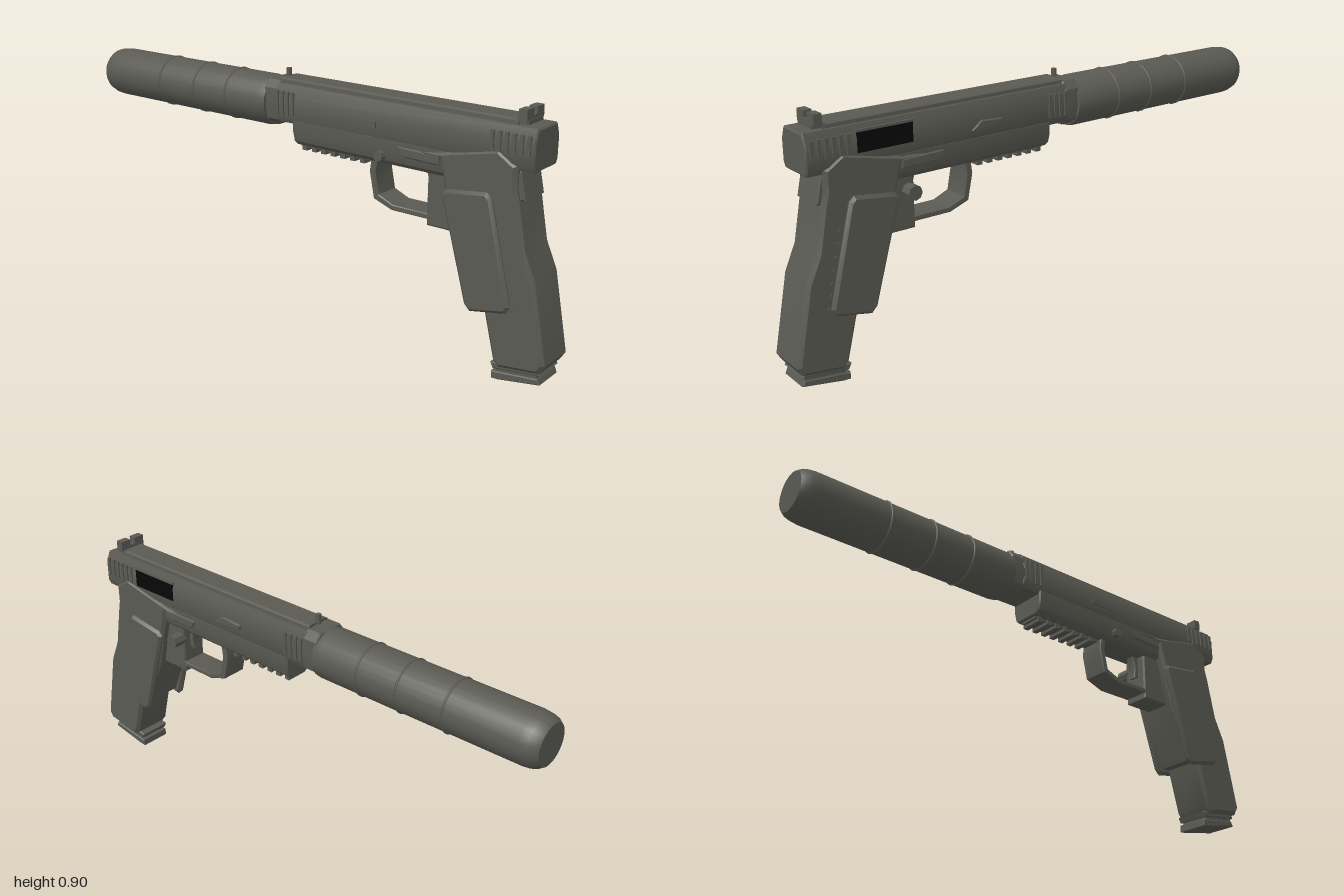
import * as THREE from 'three';
import { toCreasedNormals } from 'three/addons/utils/BufferGeometryUtils.js';

const metal = new THREE.MeshStandardMaterial({ color: 0x5a5a53 });
metal.name = 'gunmetal';
const black = new THREE.MeshStandardMaterial({ color: 0x080808 });
black.name = 'portBlack';

function extrude(points, depth, bevel) {
  const shape = new THREE.Shape(points.map(p => new THREE.Vector2(p[0], p[1])));
  const g = new THREE.ExtrudeGeometry(shape, {
    depth: depth - 2 * bevel, bevelEnabled: bevel > 0, bevelThickness: bevel,
    bevelSize: bevel, bevelOffset: -bevel, bevelSegments: 1, steps: 1,
  });
  return g.translate(0, 0, bevel - depth / 2);
}

export function createModel() {
  const model = new THREE.Group();
  model.name = 'pistol';

  const add = (name, geometry, material = metal) => {
    const mesh = new THREE.Mesh(geometry, material);
    mesh.name = name;
    model.add(mesh);
    return mesh;
  };
  // side outline as [z, y], spread across x
  const side = (name, points, width, bevel = 0, x = 0, material = metal) =>
    add(name, toCreasedNormals(extrude(points, width, bevel).rotateY(-Math.PI / 2), 0.5), material)
      .position.setX(x);
  // half cross-section as [x, y], mirrored and run along z
  const along = (name, half, z0, z1, bevel = 0) => {
    const mirrored = half.map(([x, y]) => [-x, y]).reverse();
    add(name, toCreasedNormals(extrude([...half, ...mirrored], z1 - z0, bevel), 0.5))
      .position.setZ((z0 + z1) / 2);
  };
  const box = (name, x, y, z, w, h, d, material = metal) =>
    add(name, new THREE.BoxGeometry(w, h, d), material).position.set(x, y, z);
  const pin = (name, x, y, z, r, length, sides = 8) =>
    add(name, toCreasedNormals(new THREE.CylinderGeometry(r, r, length, sides).rotateZ(Math.PI / 2), 0.6))
      .position.set(x, y, z);

  // slide and its top rib
  along('slide', [[0.066, 0.715], [0.076, 0.735], [0.076, 0.81], [0.06, 0.85]], -0.1, 0.92, 0.005);
  along('topRib', [[0.05, 0.84], [0.048, 0.862], [0.04, 0.867]], -0.095, 0.845);
  box('ejectionPort', 0.0755, 0.795, 0.645, 0.006, 0.066, 0.2, black);
  box('portLip', 0.075, 0.832, 0.645, 0.008, 0.008, 0.21);

  // grip serrations on both sides of the slide
  for (const s of [-1, 1]) {
    for (let i = 0; i < 6; i++) box('rearSerration', s * 0.077, 0.797, 0.9 - i * 0.025, 0.008, 0.065, 0.012);
    for (let i = 0; i < 4; i++) box('frontSerration', s * 0.077, 0.785, -0.015 - i * 0.023, 0.008, 0.085, 0.011);
  }

  // sights
  box('rearSightBase', 0, 0.87, 0.86, 0.105, 0.016, 0.03);
  for (const s of [-1, 1]) box('rearSightPost', s * 0.032, 0.887, 0.86, 0.042, 0.026, 0.028);
  box('rearSightFoot', 0, 0.86, 0.855, 0.09, 0.014, 0.045);
  const post = new THREE.CylinderGeometry(0.01, 0.01, 0.035, 8);
  add('frontSight', post).position.set(0, 0.877, -0.095);

  // frame below the slide
  along('frame', [[0.05, 0.64], [0.066, 0.655], [0.074, 0.685], [0.074, 0.728], [0.06, 0.735]], -0.02, 0.68, 0.005);
  along('railBase', [[0.036, 0.632], [0.036, 0.65]], -0.01, 0.3);
  for (let i = 0; i < 7; i++) box('railTooth', 0, 0.63, 0.01 + i * 0.042, 0.085, 0.02, 0.02);
  side('takedownPlate', [[0.59, 0.68], [0.45, 0.683], [0.43, 0.715], [0.59, 0.712]], 0.16, 0.004);
  side('slideStop', [[0.32, 0.757], [0.2, 0.762], [0.195, 0.782], [0.28, 0.787]], 0.014, 0.003, 0.077);
  box('leftSlideMark', -0.077, 0.772, 0.29, 0.008, 0.02, 0.1);
  pin('takedownPin', -0.08, 0.672, 0.36, 0.018, 0.024);

  // trigger housing and guard
  side('triggerHousing', [[0.64, 0.66], [0.53, 0.66], [0.53, 0.46], [0.66, 0.46]], 0.1, 0.006);
  pin('magazineRelease', 0.065, 0.595, 0.552, 0.026, 0.055);
  side('trigger', [[0.54, 0.65], [0.5, 0.65], [0.515, 0.6], [0.51, 0.55], [0.54, 0.56]], 0.035, 0.003);
  side('triggerGuard', [
    [0.54, 0.482], [0.39, 0.482], [0.317, 0.508], [0.298, 0.6], [0.305, 0.65],
    [0.33, 0.65], [0.322, 0.6], [0.337, 0.525], [0.395, 0.501], [0.54, 0.501],
  ], 0.1, 0.003);

  // grip with tang
  side('grip', [
    [0.5, 0.715], [0.58, 0.725], [0.8, 0.772], [0.865, 0.73], [0.865, 0.66], [0.875, 0.62],
    [0.905, 0.465], [0.945, 0.375], [0.998, 0.105], [0.98, 0.075], [0.835, 0.055],
    [0.815, 0.08], [0.772, 0.25], [0.738, 0.25], [0.645, 0.46], [0.615, 0.6], [0.59, 0.7],
  ], 0.164, 0.012);
  side('tang', [[0.8, 0.71], [0.87, 0.71], [0.89, 0.62], [0.8, 0.6]], 0.126, 0.006);

  // raised grip panels with a row of studs
  for (const s of [-1, 1]) {
    side('gripPanel', [
      [0.79, 0.615], [0.772, 0.632], [0.625, 0.612], [0.61, 0.595], [0.71, 0.245],
      [0.73, 0.225], [0.86, 0.252], [0.873, 0.275],
    ], 0.026, 0.01, s * 0.084);
    for (let i = 0; i < 7; i++) pin('gripStud', s * 0.082, 0.53 - i * 0.042, 0.825 + i * 0.009, 0.006, 0.008, 6);
  }

  // magazine and stacked base plates
  side('magazine', [[0.83, 0.11], [0.97, 0.13], [0.965, 0.04], [0.82, 0.02]], 0.115);
  side('basePlateUpper', [[0.81, 0.038], [0.8, 0.058], [0.965, 0.088], [0.978, 0.062]], 0.126, 0.004);
  side('basePlateLower', [[0.805, 0.002], [0.805, 0.028], [0.97, 0.05], [0.978, 0.03], [0.83, 0.003]], 0.124, 0.004);

  // barrel collar joining the suppressor
  along('collar', [[0.045, 0.7], [0.07, 0.72], [0.078, 0.77], [0.072, 0.83], [0.05, 0.858]], -0.15, -0.09, 0.004);

  // suppressor with three bands
  const tube = [
    [0, 0.14], [0.088, 0.14], [0.092, 0.165], [0.092, 0.94],
    [0.089, 0.965], [0.083, 0.985], [0.072, 1], [0, 1],
  ].map(p => new THREE.Vector2(p[0], p[1]));
  const suppressor = toCreasedNormals(new THREE.LatheGeometry(tube, 24), 0.9).rotateX(-Math.PI / 2);
  add('suppressor', suppressor).position.set(0, 0.77, 0);
  for (const z of [-0.33, -0.49, -0.67]) {
    add('suppressorBand', new THREE.TorusGeometry(0.091, 0.005, 6, 24)).position.set(0, 0.77, z);
  }
  return model;
}
